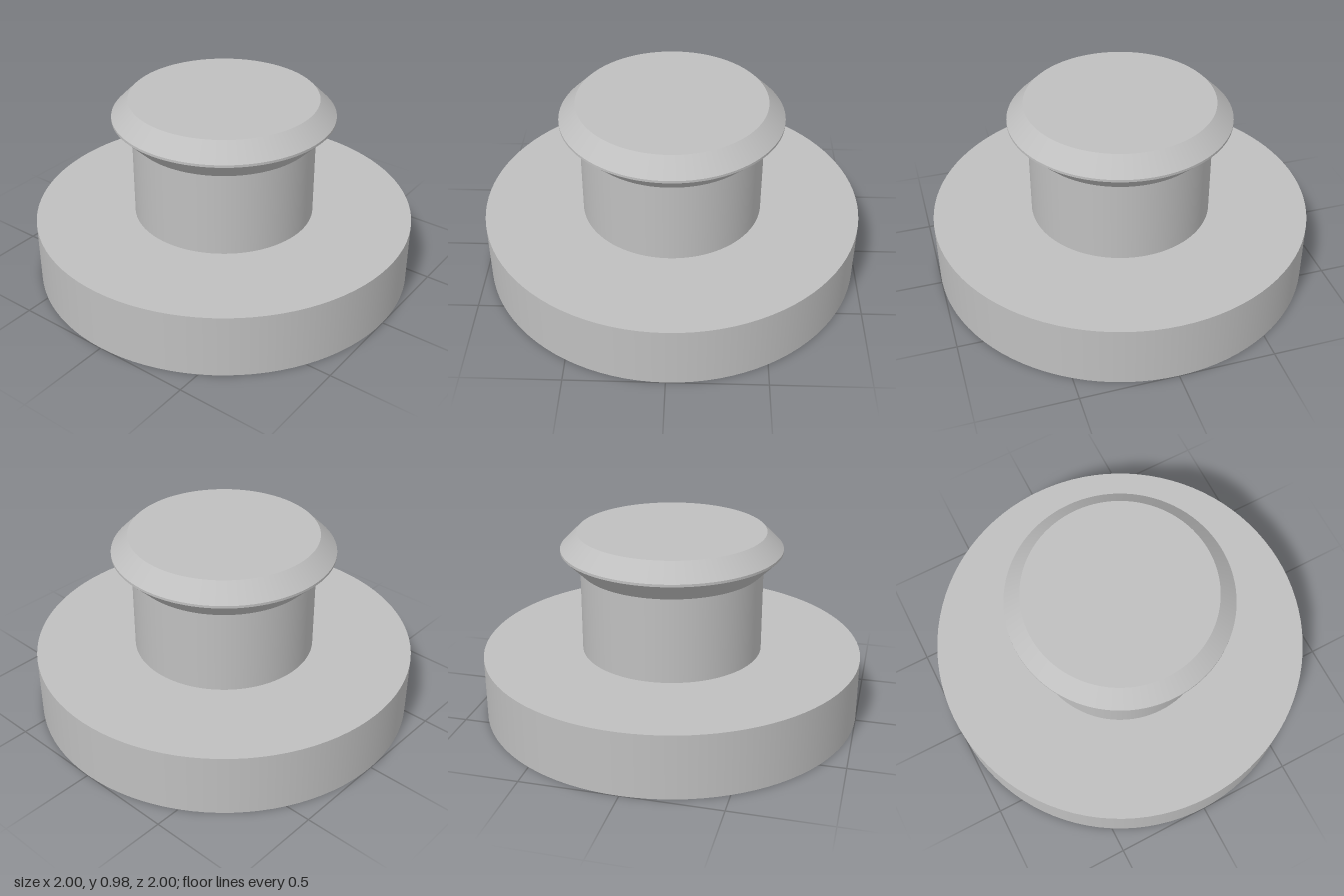
import * as THREE from 'three';

const SEGMENTS = 96;

export function createModel() {
  const model = new THREE.Group();
  model.name = 'flangedKnob';

  const grey = new THREE.MeshStandardMaterial({ color: 0xbfbfbf });
  grey.name = 'plain grey';

  // Straight or tapered round section between two heights
  function section(name, bottomY, topY, bottomRadius, topRadius, open = true) {
    const geometry = new THREE.CylinderGeometry(
      topRadius, bottomRadius, topY - bottomY, SEGMENTS, 1, open);
    const mesh = new THREE.Mesh(geometry, grey);
    mesh.name = name;
    mesh.position.y = (bottomY + topY) / 2;
    return mesh;
  }

  // Wide base disc and the stem standing on it
  model.add(section('base', 0, 0.335, 1, 1, false));
  model.add(section('stem', 0.335, 0.78, 0.477, 0.477));

  // Head: flared underside, thin rim, bevelled shoulder and flat top
  const head = new THREE.Group();
  head.name = 'head';
  head.add(section('headUnderside', 0.78, 0.88, 0.477, 0.577));
  head.add(section('headRim', 0.88, 0.893, 0.577, 0.577));
  head.add(section('headBevel', 0.893, 0.98, 0.577, 0.49));

  const cap = new THREE.Mesh(new THREE.CircleGeometry(0.49, SEGMENTS), grey);
  cap.name = 'headTop';
  cap.rotation.x = -Math.PI / 2;
  cap.position.y = 0.98;
  head.add(cap);
  model.add(head);

  return model;
}
